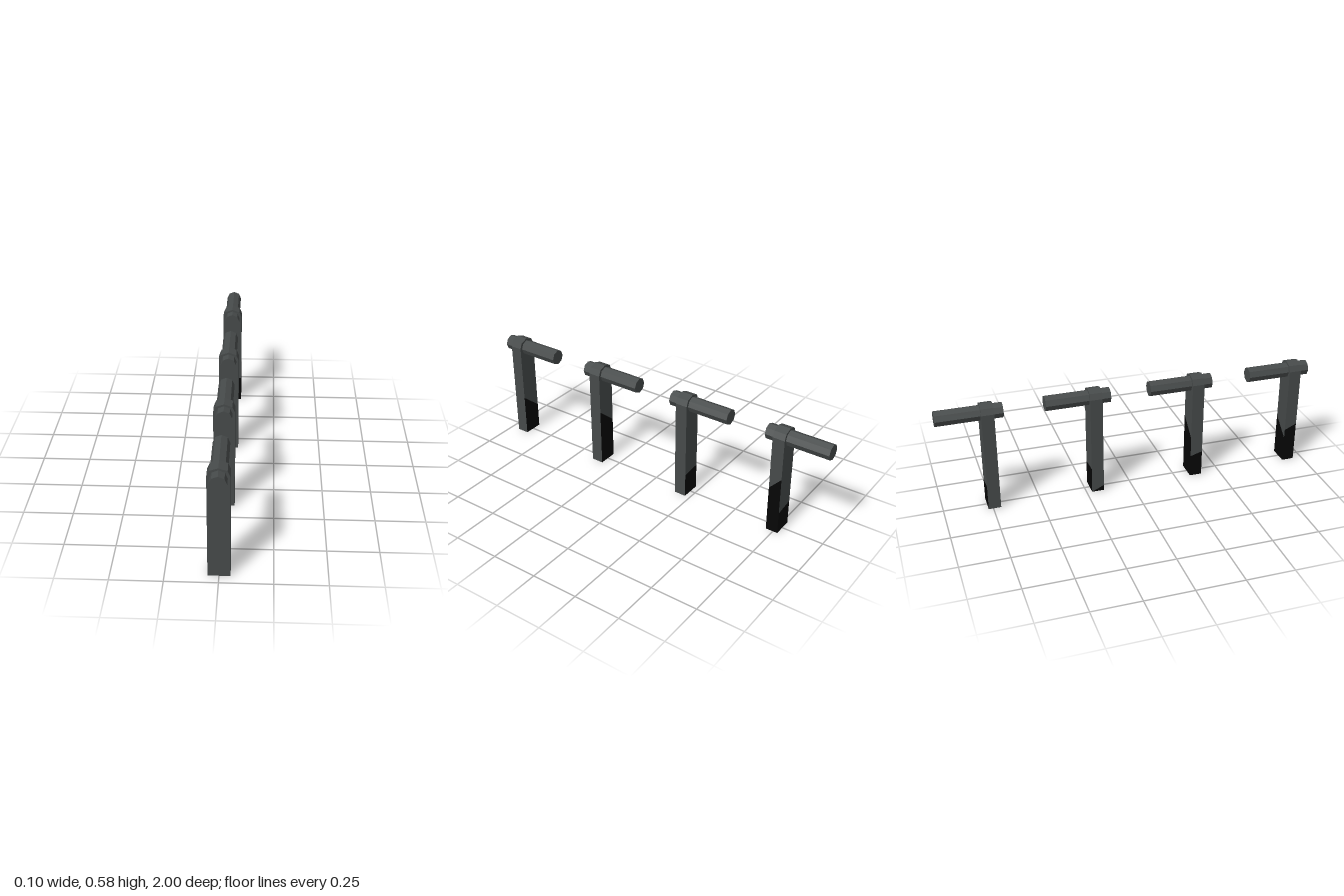
import * as THREE from 'three';

const grey = new THREE.MeshStandardMaterial({ color: 0x464a4a, side: THREE.DoubleSide });
grey.name = 'dark grey metal';
grey.flatShading = true;
const black = new THREE.MeshStandardMaterial({ color: 0x060606, side: THREE.DoubleSide });
black.name = 'black stain';

const HALF_W = 0.0525, HALF_D = 0.0325, SHOULDER = 0.54;
const SPACING = 0.5533, FIRST_BAR_Z = 0.83, BAR_LENGTH = 0.34;

// Flat convex panel from corners listed counter-clockwise as seen from outside
function panel(name, corners, material) {
  const pos = [];
  for (let i = 1; i < corners.length - 1; i++) pos.push(...corners[0], ...corners[i], ...corners[i + 1]);
  const geo = new THREE.BufferGeometry();
  geo.setAttribute('position', new THREE.Float32BufferAttribute(pos, 3));
  geo.computeVertexNormals();
  const mesh = new THREE.Mesh(geo, material);
  mesh.name = name;
  return mesh;
}

// Upright wall; its first two corners are bottom left and bottom right.
// stain gives the height of the black area at those two edges.
function wall(name, corners, stain) {
  if (!stain) return [panel(name, corners, grey)];
  const [bl, br, ...rest] = corners;
  const left = [bl[0], stain[0], bl[2]], right = [br[0], stain[1], br[2]];
  return [
    panel(name + 'Stain', [bl, br, right, left], black),
    panel(name, [left, right, ...rest], grey),
  ];
}

// Hollow post with faceted round top, open at the bottom
function makePost(stains) {
  const post = new THREE.Group();
  post.name = 'post';
  const outline = [
    [-HALF_W, 0], [HALF_W, 0], [HALF_W, SHOULDER], [0.04, 0.571],
    [0, 0.585], [-0.04, 0.571], [-HALF_W, SHOULDER],
  ];
  post.add(...wall('frontFace', outline.map(([x, y]) => [x, y, HALF_D]), stains.front));
  post.add(...wall('backFace', outline.map(([x, y]) => [-x, y, -HALF_D]), stains.back));
  for (const [name, s] of [['leftSide', 1], ['rightSide', -1]]) {
    const x = s * HALF_W, z = s * HALF_D;
    post.add(...wall(name, [[x, 0, z], [x, 0, -z], [x, SHOULDER, -z], [x, SHOULDER, z]], stains[name]));
  }
  // Facets over the top
  for (let i = 2; i < 6; i++) {
    const [x0, y0] = outline[i], [x1, y1] = outline[i + 1];
    post.add(panel('topFacet', [[x0, y0, HALF_D], [x0, y0, -HALF_D], [x1, y1, -HALF_D], [x1, y1, HALF_D]], grey));
  }
  return post;
}

// Eight-sided horizontal bar through the post head
function makeBar() {
  const geo = new THREE.CylinderGeometry(0.0405, 0.0405, BAR_LENGTH, 8);
  geo.rotateX(Math.PI / 2);
  const bar = new THREE.Mesh(geo, grey);
  bar.name = 'crossBar';
  bar.position.y = 0.5345;
  return bar;
}

export function createModel() {
  const model = new THREE.Group();
  model.name = 'rowOfPosts';
  // Stained walls of each post, front to back
  const stains = [
    { back: [0.23, 0.14], rightSide: [0.19, 0.22] },
    { back: [0.32, 0.23], rightSide: [0.12, 0.14] },
    { back: [0.13, 0.14], rightSide: [0, 0.03] },
    { front: [0.135, 0.145], back: [0.12, 0.135], leftSide: [0.25, 0.32] },
  ];
  stains.forEach((stain, i) => {
    const unit = new THREE.Group();
    unit.name = 'postWithBar' + (i + 1);
    const post = makePost(stain);
    post.position.z = 0.088;
    unit.add(post, makeBar());
    unit.position.z = FIRST_BAR_Z - i * SPACING;
    model.add(unit);
  });
  return model;
}
